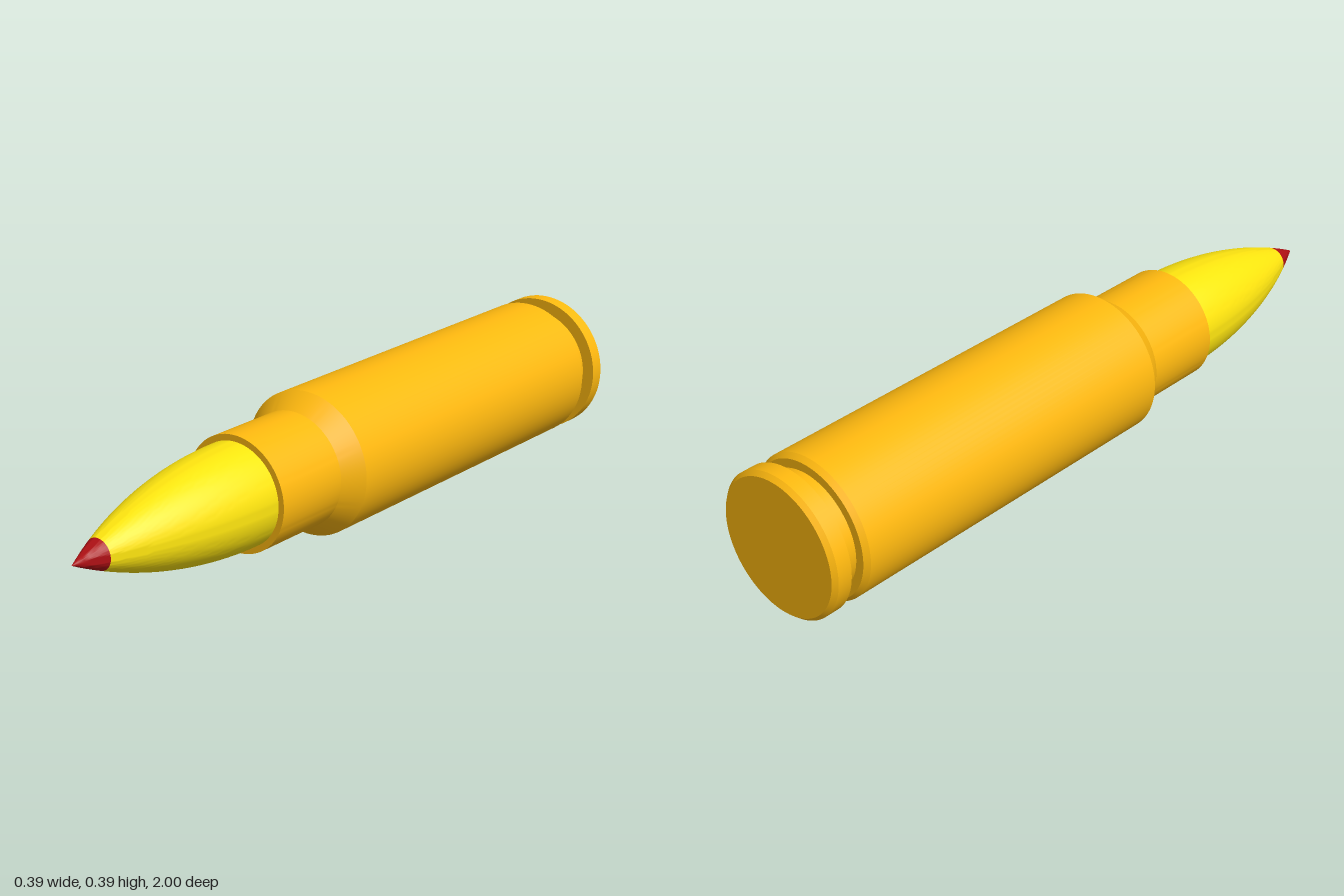
import * as THREE from 'three';
import { toCreasedNormals } from 'three/addons/utils/BufferGeometryUtils.js';

const RADIUS = 0.197;
const SEGMENTS = 96;

// Turned part along z from [radius, z] pairs, listed back to front
function turned(name, profile, color, crease = 0.35) {
  const points = profile.map(([r, z]) => new THREE.Vector2(r, z));
  const geometry = toCreasedNormals(new THREE.LatheGeometry(points, SEGMENTS), crease);
  geometry.rotateX(Math.PI / 2);
  const mesh = new THREE.Mesh(geometry, new THREE.MeshStandardMaterial({ color }));
  mesh.name = name;
  mesh.position.y = RADIUS;
  return mesh;
}

// Pointed arch profile: an arc tangent to the axis direction at its base
const BASE_Z = 0.425, BASE_R = 0.14, LENGTH = 1 - BASE_Z;
const ARC = (LENGTH ** 2 + BASE_R ** 2) / (2 * BASE_R);
const ogiveRadius = z => Math.max(0, Math.sqrt(ARC ** 2 - (z - BASE_Z) ** 2) - ARC + BASE_R);

function ogive(from, to, steps) {
  return Array.from({ length: steps + 1 }, (_, i) => {
    const z = from + (to - from) * i / steps;
    return [ogiveRadius(z), z];
  });
}

export function createModel() {
  const group = new THREE.Group();
  group.name = 'cartridge';
  const brass = 0xffb90f, yellow = 0xffe60f, red = 0xb01014;

  // Case: chamfered rim, extractor groove, body, shoulder, neck and mouth
  group.add(turned('case', [
    [0, -1], [0.186, -1], [RADIUS, -0.988], [RADIUS, -0.947], [0.162, -0.947],
    [0.162, -0.9], [0.186, -0.9], [RADIUS, -0.886], [RADIUS, 0.143],
    [0.157, 0.197], [0.157, BASE_Z], [BASE_R - 0.004, BASE_Z],
  ], brass));

  // Bullet, seated a little way into the neck
  const tipZ = 0.913;
  group.add(turned('bullet', [[BASE_R, BASE_Z - 0.03], ...ogive(BASE_Z, tipZ, 28)], yellow, 0.6));

  // Coloured point
  group.add(turned('tip', ogive(tipZ, 1, 6), red, 0.6));
  return group;
}
